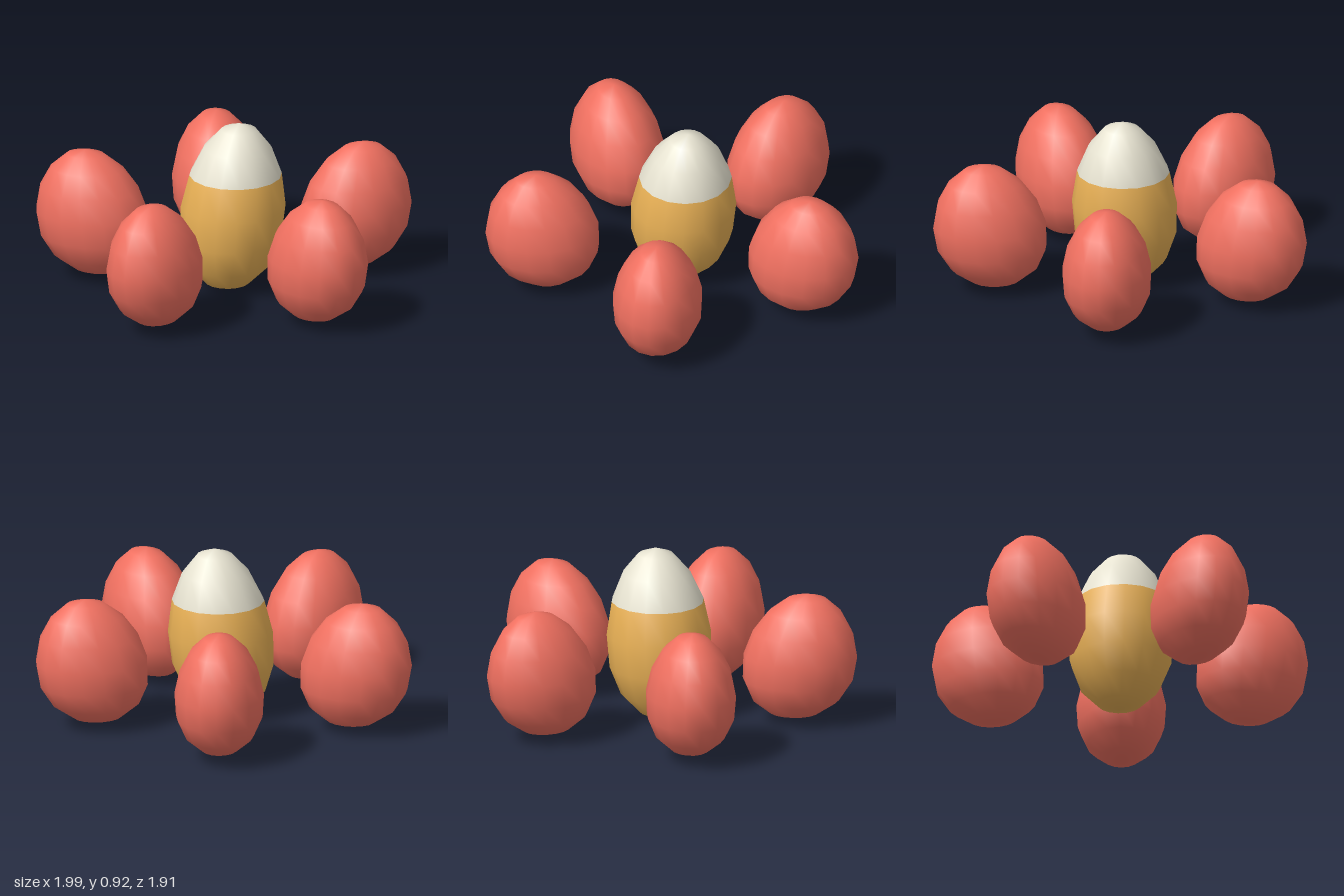
import * as THREE from 'three';
import { mergeVertices } from 'three/addons/utils/BufferGeometryUtils.js';

const SEGMENTS = 16;
const RINGS = 8;
const CENTRE_Z = 0.08;

// Egg: a sphere narrowed towards the top, scaled, then leaned sideways
function eggGeometry(rx, ry, rz, leanX, leanZ) {
  const geo = new THREE.SphereGeometry(1, SEGMENTS, RINGS);
  geo.deleteAttribute('uv');
  geo.deleteAttribute('normal');
  const pos = geo.attributes.position;
  for (let i = 0; i < pos.count; i++) {
    const u = pos.getY(i);
    const taper = 1 - 0.12 * u;
    pos.setXYZ(
      i,
      pos.getX(i) * taper * rx + leanX * u,
      u * ry,
      pos.getZ(i) * taper * rz + leanZ * u
    );
  }
  const merged = mergeVertices(geo, 1e-4);
  merged.computeVertexNormals();
  return merged;
}

// Part of a geometry's triangles, keeping the shared smooth normals
function sliceGeometry(geo, start, end) {
  const part = geo.clone();
  part.setIndex(Array.from(geo.index.array).slice(start, end));
  return part;
}

function addMesh(parent, name, geo, material) {
  const mesh = new THREE.Mesh(geo, material);
  mesh.name = name;
  parent.add(mesh);
  return mesh;
}

export function createModel() {
  const model = new THREE.Group();
  model.name = 'eggCluster';
  const red = new THREE.MeshStandardMaterial({ color: 0xf07060 });
  const amber = new THREE.MeshStandardMaterial({ color: 0xe8b055 });
  const cream = new THREE.MeshStandardMaterial({ color: 0xe8e4d2 });

  // Central egg, with a pale cap over the top three rings
  const centre = new THREE.Group();
  centre.name = 'centralEgg';
  centre.position.set(0.03, 0.462, CENTRE_Z);
  const centreGeo = eggGeometry(0.278, 0.462, 0.278, 0.033, 0);
  const capEnd = 3 * SEGMENTS * (1 + 2 * 2);
  addMesh(centre, 'eggCap', sliceGeometry(centreGeo, 0, capEnd), cream);
  addMesh(centre, 'eggBody', sliceGeometry(centreGeo, capEnd, centreGeo.index.count), amber);
  model.add(centre);

  // Ring of five outer eggs, each leaning outwards
  const outerGeo = eggGeometry(0.237, 0.343, 0.302, 0, 0.037);
  const radius = 0.736;
  for (let i = 0; i < 5; i++) {
    const angle = Math.PI + (i * Math.PI * 2) / 5;
    const egg = addMesh(model, `outerEgg${i + 1}`, outerGeo, red);
    egg.position.set(Math.sin(angle) * radius, 0.368, CENTRE_Z + Math.cos(angle) * radius);
    egg.rotation.y = angle;
  }

  return model;
}
